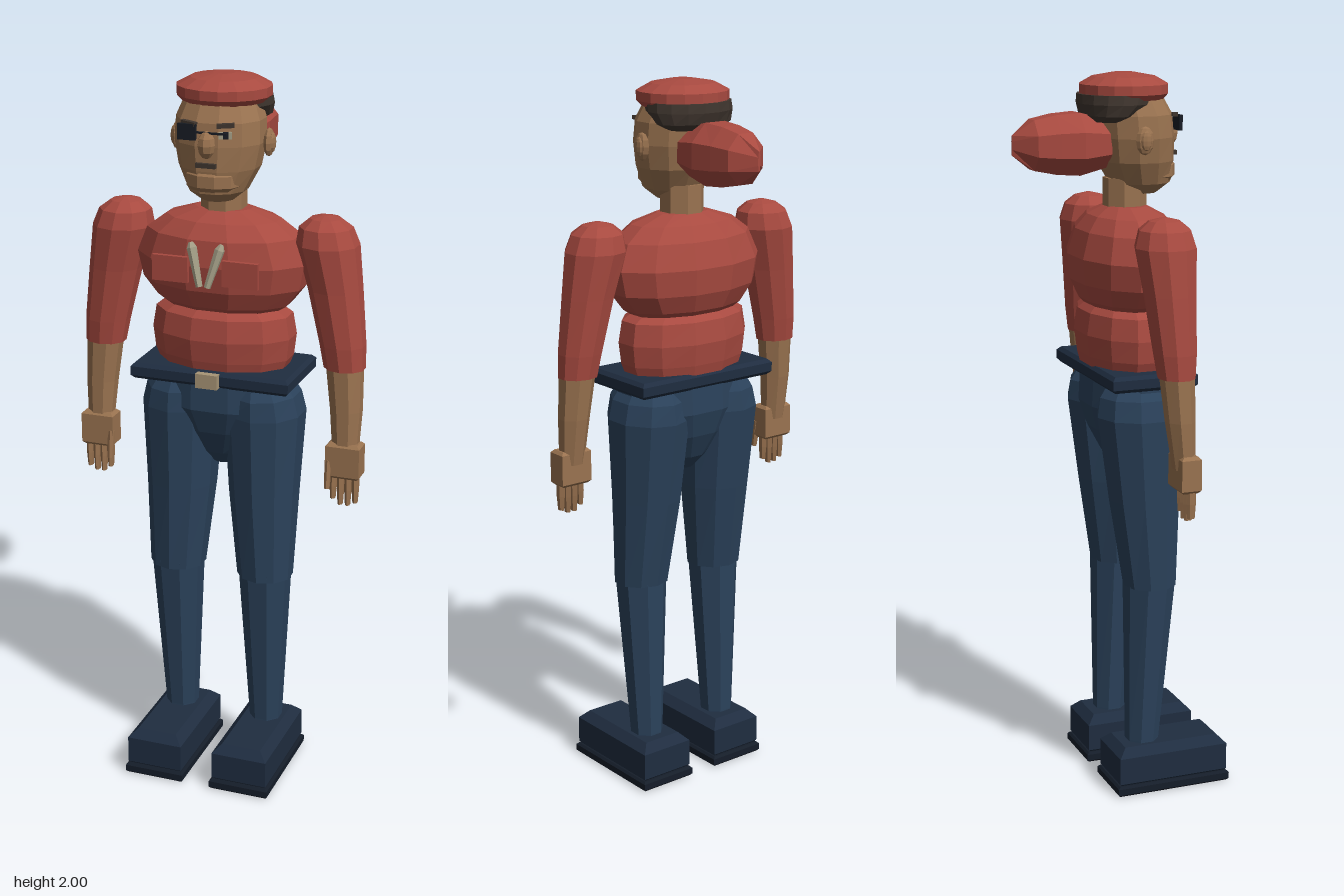
import * as THREE from 'three';

const paint = (name, color) => {
  const m = new THREE.MeshStandardMaterial({ color });
  m.name = name;
  return m;
};

export function createModel() {
  const model = new THREE.Group();
  model.name = 'figure';
  const red = paint('red cloth', 0xa84a40);
  const skin = paint('skin', 0x9a7350);
  const denim = paint('blue trousers', 0x2b425b);
  const navy = paint('dark navy leather', 0x1f2d40);
  const sole = paint('sole', 0x151d29);
  const hairMat = paint('dark hair', 0x40362f);
  const cream = paint('pale lapel', 0xa5a088);
  const brass = paint('buckle', 0xa89576);
  const black = paint('black', 0x181c24);

  // Adds a faceted mesh
  function add(name, geo, mat, x = 0, y = 0, z = 0, parent = model) {
    const g = geo.index ? geo.toNonIndexed() : geo;
    g.computeVertexNormals();
    const mesh = new THREE.Mesh(g, mat);
    mesh.name = name;
    mesh.position.set(x, y, z);
    parent.add(mesh);
    return mesh;
  }

  // Skins elliptical rings [y, rx, rz, cx, cz], listed from bottom to top
  function loft(rings, n = 10) {
    const pos = [], idx = [];
    for (const [y, rx, rz, cx = 0, cz = 0] of rings) {
      for (let i = 0; i < n; i++) {
        const a = ((i + 0.5) / n) * Math.PI * 2;
        pos.push(cx + rx * Math.cos(a), y, cz + rz * Math.sin(a));
      }
    }
    const last = rings.length - 1;
    for (let r = 0; r < last; r++) {
      for (let i = 0; i < n; i++) {
        const a = r * n + i, b = r * n + ((i + 1) % n);
        idx.push(a, a + n, b, b, a + n, b + n);
      }
    }
    for (let i = 1; i < n - 1; i++) {
      idx.push(0, i, i + 1, last * n, last * n + i + 1, last * n + i);
    }
    const g = new THREE.BufferGeometry();
    g.setAttribute('position', new THREE.Float32BufferAttribute(pos, 3));
    g.setIndex(idx);
    return g;
  }

  // Box whose top face is inset by a chamfer
  function chamferBox(w, h, d, c) {
    const s = new THREE.Shape();
    const x = w / 2 - c, z = d / 2 - c;
    s.moveTo(-x, -z).lineTo(x, -z).lineTo(x, z).lineTo(-x, z);
    const g = new THREE.ExtrudeGeometry(s, {
      depth: h - 2 * c, bevelEnabled: true, bevelSize: c, bevelThickness: c, bevelSegments: 1,
    });
    return g.translate(0, 0, -(h - 2 * c) / 2).rotateX(-Math.PI / 2);
  }
  const box = (w, h, d) => new THREE.BoxGeometry(w, h, d);
  const ball = (rx, ry, rz, w = 10, h = 6) => new THREE.SphereGeometry(1, w, h).scale(rx, ry, rz);

  // Torso
  add('chest', loft([
    [1.365, 0.15, 0.09, 0, 0.035], [1.39, 0.19, 0.115, 0, 0.035], [1.44, 0.23, 0.137, 0, 0.035],
    [1.51, 0.245, 0.146, 0, 0.037], [1.58, 0.215, 0.13, 0, 0.042],
    [1.62, 0.16, 0.1, 0, 0.042], [1.645, 0.08, 0.055, 0, 0.04],
  ], 12), red);
  add('belly', loft([
    [1.19, 0.175, 0.11, 0, 0.037], [1.24, 0.196, 0.122, 0, 0.037], [1.3, 0.203, 0.13, 0, 0.037],
    [1.36, 0.193, 0.12, 0, 0.037], [1.38, 0.16, 0.1, 0, 0.037],
  ], 12), red);
  add('neck', loft([[1.6, 0.062, 0.06, 0, 0.04], [1.72, 0.062, 0.06, 0, 0.04]], 8), skin);

  // Belt and hips
  add('belt', chamferBox(0.452, 0.045, 0.245, 0.01), navy, 0, 1.194, 0.043);
  add('buckle', box(0.062, 0.04, 0.02), brass, 0, 1.194, 0.172);
  add('hips', loft([
    [0.92, 0.03, 0.03, 0, 0.04], [0.96, 0.075, 0.065, 0, 0.04], [1.03, 0.15, 0.1, 0, 0.04],
    [1.1, 0.205, 0.122, 0, 0.042], [1.18, 0.205, 0.118, 0, 0.043],
  ], 12), denim);

  // Head
  const head = new THREE.Group();
  head.name = 'head';
  model.add(head);
  add('skull', loft([
    [1.677, 0.045, 0.05, 0, 0.08], [1.705, 0.08, 0.085, 0, 0.083], [1.765, 0.11, 0.105, 0, 0.07],
    [1.83, 0.123, 0.11, 0, 0.065], [1.89, 0.12, 0.108, 0, 0.06], [1.94, 0.1, 0.09, 0, 0.05],
  ], 12), skin, 0, 0, 0, head);
  add('jaw', ball(0.08, 0.05, 0.062, 10, 5), skin, 0, 1.738, 0.12, head);
  add('nose', ball(0.025, 0.037, 0.028, 8, 6), skin, 0, 1.835, 0.167, head);
  add('moustache', box(0.055, 0.012, 0.012), hairMat, 0, 1.783, 0.176, head);
  add('hair', loft([
    [1.873, 0.085, 0.045, 0, -0.02], [1.89, 0.115, 0.072, 0, -0.01],
    [1.92, 0.125, 0.1, 0, 0.008], [1.945, 0.122, 0.105, 0, 0.014],
  ], 16), hairMat, 0, 0, 0, head);
  add('cap', loft([
    [1.93, 0.113, 0.107, 0, 0.036], [1.945, 0.128, 0.12, 0, 0.036], [1.97, 0.128, 0.12, 0, 0.036],
    [1.99, 0.09, 0.085, 0, 0.036], [2, 0.03, 0.03, 0, 0.036],
  ], 16), red, 0, 0, 0, head);

  // Cloth tail behind the head, lofted along -z
  const tail = loft([
    [0.02, 0.07, 0.07], [0.1, 0.085, 0.09], [0.165, 0.075, 0.085], [0.225, 0.064, 0.072], [0.28, 0.004, 0.028],
  ], 8).rotateX(-Math.PI / 2);
  add('clothTail', tail, red, 0, 1.815, 0, head);

  // Eye patch, its strap, and the open eye
  add('eyePatch', box(0.05, 0.042, 0.009), black, -0.053, 1.867, 0.172, head);
  add('patchStrap', box(0.09, 0.005, 0.006), black, 0.01, 1.867, 0.172, head);
  add('eyeWhite', box(0.034, 0.018, 0.008), cream, 0.048, 1.862, 0.16, head).rotation.y = 0.3;
  add('pupil', box(0.014, 0.018, 0.008), black, 0.05, 1.862, 0.163, head).rotation.y = 0.3;

  for (const s of [1, -1]) {
    const side = new THREE.Group();
    side.name = s > 0 ? 'leftSide' : 'rightSide';
    model.add(side);
    const part = (name, geo, mat, x = 0, y = 0, z = 0) => add(name, geo, mat, x * s, y, z, side);

    part('ear', ball(0.014, 0.038, 0.026, 8, 6), skin, 0.128, 1.828, 0.048);
    part('earInner', ball(0.008, 0.026, 0.016, 8, 6), skin, 0.138, 1.828, 0.048);
    part('brow', box(0.045, 0.011, 0.014), hairMat, 0.05, 1.888, 0.164).rotation.set(0, 0.3 * s, 0.06 * s);

    // Chest pocket and lapel strip
    part('pocket', box(0.1, 0.07, 0.012), red, 0.098, 1.502, 0.183);
    part('pocketFlap', box(0.1, 0.02, 0.008), red, 0.098, 1.527, 0.186);
    part('lapel', loft([
      [-0.06, 0.009, 0.009], [0.045, 0.014, 0.012], [0.06, 0.006, 0.006],
    ], 6), cream, 0.027, 1.52, 0.187).rotation.set(-0.2, 0, -0.27 * s);

    // Arm: rounded sleeve, forearm, hand
    part('sleeve', loft([
      [1.235, 0.057, 0.05, 0.347 * s, 0.05], [1.3, 0.063, 0.058, 0.34 * s, 0.048],
      [1.45, 0.074, 0.07, 0.315 * s, 0.043], [1.57, 0.085, 0.083, 0.291 * s, 0.04],
      [1.615, 0.072, 0.07, 0.285 * s, 0.04], [1.638, 0.042, 0.042, 0.283 * s, 0.04],
      [1.646, 0.01, 0.01, 0.283 * s, 0.04],
    ]), red);
    part('forearm', loft([
      [0.99, 0.036, 0.03, 0.36 * s, 0.068], [1.12, 0.045, 0.04, 0.357 * s, 0.058], [1.26, 0.053, 0.047, 0.347 * s, 0.05],
    ], 8), skin);
    part('palm', chamferBox(0.095, 0.1, 0.056, 0.008), skin, 0.36, 0.98, 0.072);
    for (let i = 0; i < 4; i++) {
      const len = [0.075, 0.09, 0.09, 0.08][i];
      part('finger', loft([
        [-len, 0.007, 0.011], [-len * 0.5, 0.01, 0.014], [0.01, 0.01, 0.015],
      ], 6), skin, 0.33 + i * 0.021, 0.94, 0.076);
    }
    part('thumb', loft([[-0.05, 0.008, 0.008], [0.03, 0.011, 0.011]], 6), skin, 0.32, 0.95, 0.096).rotation.x = -0.15;

    // Leg: thigh and narrower shin
    part('thigh', loft([
      [0.6, 0.079, 0.076, 0.131 * s, 0.064], [0.85, 0.098, 0.102, 0.122 * s, 0.05],
      [1.085, 0.112, 0.124, 0.12 * s, 0.04], [1.14, 0.1, 0.118, 0.118 * s, 0.042], [1.17, 0.08, 0.1, 0.115 * s, 0.044],
    ]), denim);
    part('shin', loft([
      [0.1, 0.045, 0.046, 0.13 * s, 0.044], [0.14, 0.047, 0.048, 0.13 * s, 0.044], [0.62, 0.075, 0.074, 0.131 * s, 0.064],
    ], 8), denim);

    // Shoe with sole
    part('shoe', chamferBox(0.162, 0.125, 0.325, 0.024), navy, 0.128, 0.074, 0.112);
    part('sole', chamferBox(0.174, 0.03, 0.338, 0.006), sole, 0.128, 0.015, 0.112);
  }
  return model;
}
